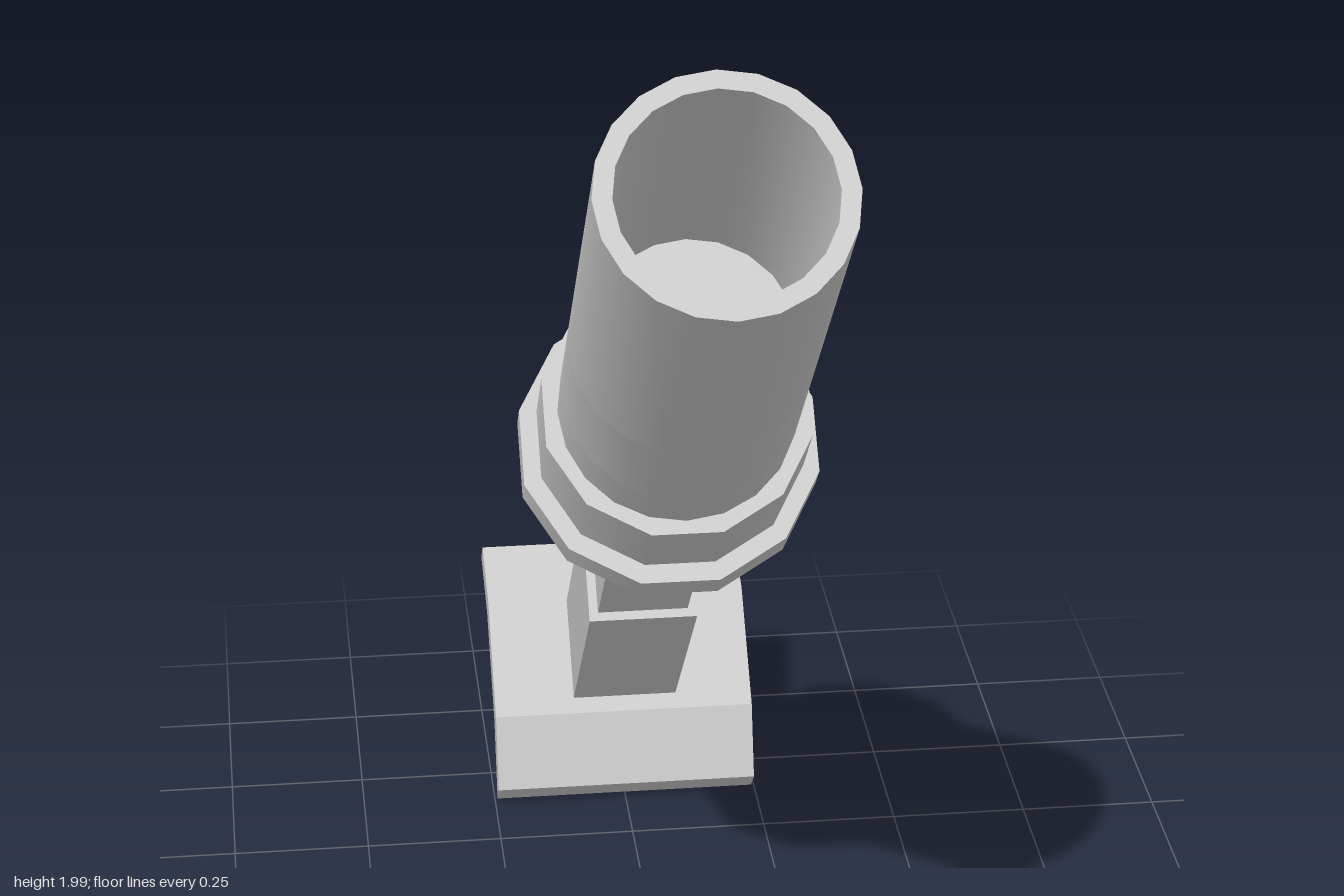
import * as THREE from 'three';
import { toCreasedNormals } from 'three/addons/utils/BufferGeometryUtils.js';

const material = new THREE.MeshStandardMaterial({ color: 0xcccccc });
const OUTER = 0.195, INNER = 0.165;

export function createModel() {
  const model = new THREE.Group();
  // Everything is built upright along y, then tilted forward by 45 degrees
  const tilt = new THREE.Group();
  tilt.name = 'tiltedBody';
  tilt.rotation.x = Math.PI / 4;
  model.add(tilt);
  const body = new THREE.Group();
  body.name = 'launcher';
  body.position.z = -0.709;
  tilt.add(body);

  const add = (name, geometry) => {
    const mesh = new THREE.Mesh(geometry, material);
    mesh.name = name;
    body.add(mesh);
    return mesh;
  };

  // Square bar between two heights
  const bar = (name, half, y0, y1) =>
    add(name, new THREE.BoxGeometry(half * 2, y1 - y0, half * 2).translate(0, (y0 + y1) / 2, 0));

  // Twelve-sided collar with flats at front, back and sides
  const collar = (name, apothem, y0, y1) =>
    add(name, new THREE.CylinderGeometry(1, 1, y1 - y0, 12)
      .rotateY(Math.PI / 12)
      .scale(apothem / Math.cos(Math.PI / 12), 1, apothem / Math.cos(Math.PI / 12))
      .translate(0, (y0 + y1) / 2, 0));

  // Hollow barrel section; gap is the half angle of an opening at the back
  const barrelSection = (name, y0, y1, gap = 0) => {
    const shape = new THREE.Shape();
    const start = Math.PI / 2 + gap, end = Math.PI * 2.5 - gap;
    shape.absarc(0, 0, OUTER, start, end, false);
    if (gap) {
      shape.absarc(0, 0, INNER, end, start, true);
    } else {
      const hole = new THREE.Path();
      hole.absarc(0, 0, INNER, start, end, true);
      hole.curves = [];
      hole.absarc(0, 0, INNER, 0, Math.PI * 2, false);
      shape.holes.push(hole);
    }
    const geometry = new THREE.ExtrudeGeometry(shape, {
      depth: y1 - y0, bevelEnabled: false, curveSegments: gap ? 8 : 10,
    }).rotateX(-Math.PI / 2).translate(0, y0, 0);
    add(name, toCreasedNormals(geometry, 0.6));
  };

  // Barrel with the port cut into its upper back side
  barrelSection('barrelBase', 0.87, 1.138);
  barrelSection('barrelPort', 1.138, 1.345, Math.PI / 5);
  barrelSection('barrelFront', 1.345, 1.928);
  // Breech block seen through the port
  add('breechBlock', new THREE.CylinderGeometry(0.163, 0.163, 0.48, 20).translate(0, 1.12, 0));

  // Collars at the rear of the barrel
  collar('barrelCollar', 0.217, 0.889, 1.042);
  collar('rearFlange', 0.245, 0.816, 0.877);

  // Stock: square mount, thin rod, thicker sleeve, pad neck
  bar('stockMount', 0.095, 0.756, 0.816);
  bar('stockRod', 0.081, 0.19, 0.76);
  bar('stockSleeve', 0.097, -0.295, 0.195);
  bar('padNeck', 0.081, -0.335, -0.29);

  // Shoulder pad: bent plate extruded sideways
  const half = [[0.118, -0.329], [0.244, -0.394], [0.244, -0.454], [0.109, -0.388]];
  const mirrored = half.map(([u, y]) => [-u, y]).reverse();
  const padShape = new THREE.Shape([...half, ...mirrored].map(([u, y]) => new THREE.Vector2(u, y)));
  add('shoulderPad', new THREE.ExtrudeGeometry(padShape, { depth: 0.49, bevelEnabled: false })
    .translate(0, 0, -0.245)
    .rotateY(Math.PI / 2));

  return model;
}
